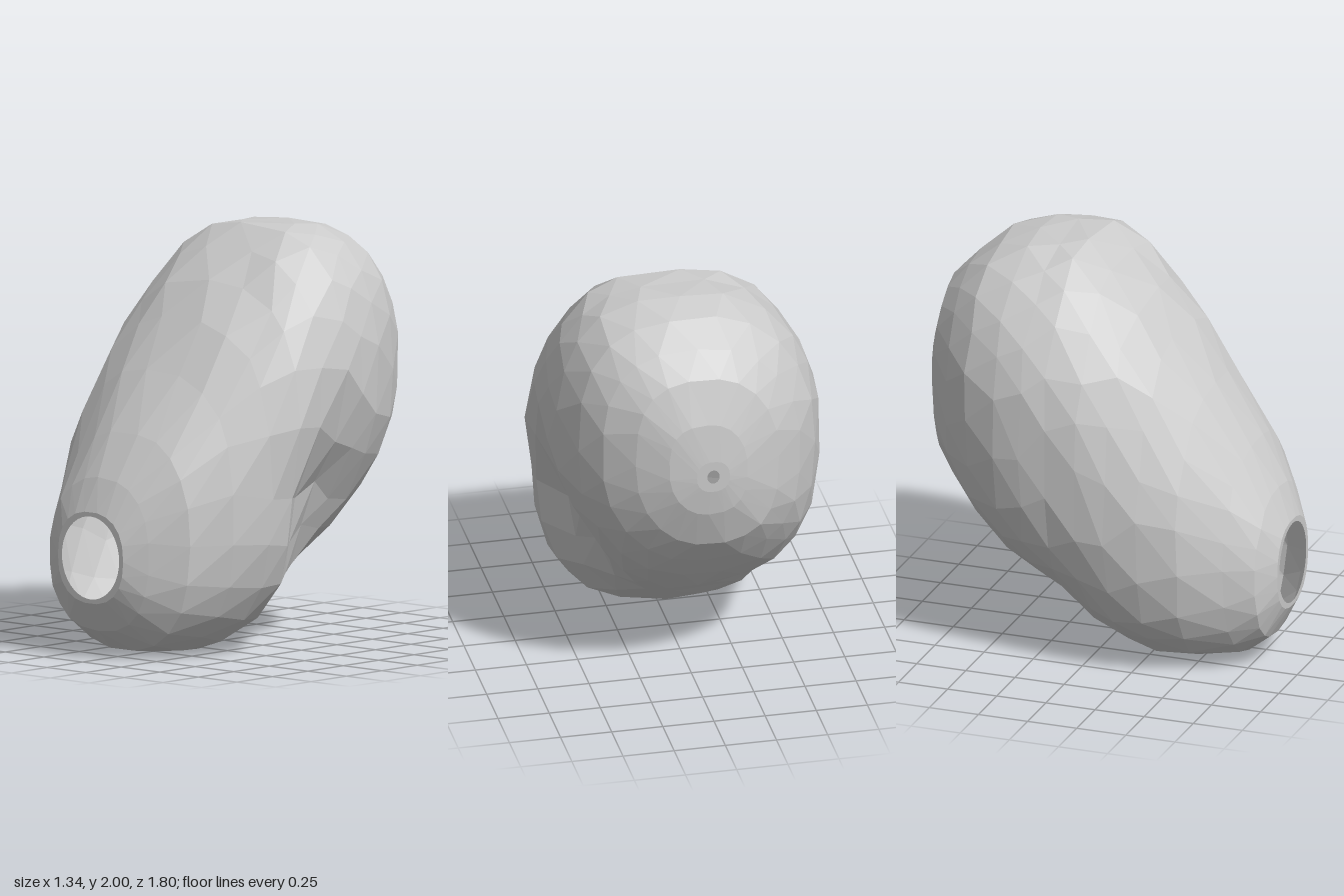
import * as THREE from 'three';

const SIDES = 22;

// Sections from front to back: z, bottom, top, right side x, left side x
const SECTIONS = [
  [0.90, 0.27, 0.71, -0.25, 0.17],
  [0.83, 0.13, 0.87, -0.37, 0.27],
  [0.70, 0.03, 1.08, -0.45, 0.42],
  [0.50, 0.00, 1.36, -0.58, 0.53],
  [0.32, 0.00, 1.60, -0.64, 0.61],
  [0.17, 0.05, 1.77, -0.67, 0.67],
  [0.02, 0.14, 1.91, -0.67, 0.67],
  [-0.14, 0.26, 2.01, -0.67, 0.67],
  [-0.27, 0.34, 2.01, -0.67, 0.66],
  [-0.40, 0.43, 2.01, -0.65, 0.64],
  [-0.57, 0.57, 1.96, -0.59, 0.57],
  [-0.70, 0.72, 1.86, -0.49, 0.48],
  [-0.81, 0.86, 1.75, -0.36, 0.34],
  [-0.88, 1.06, 1.54, -0.19, 0.19],
  [-0.90, 1.19, 1.35, -0.10, 0.06],
];

// Hollows pressed into the flanks: side, y, z, y radius, z radius, depth
const DENTS = [
  [1, 0.68, -0.11, 0.34, 0.28, 0.18],
  [-1, 1.15, 0.26, 0.25, 0.16, 0.04],
];

function seeded(seed) {
  return () => {
    seed = (seed * 16807) % 2147483647;
    return seed / 2147483647;
  };
}

const power = (v, n) => Math.sign(v) * Math.pow(Math.abs(v), 2 / n);

// Roundness of each quarter of a section: the stone leans, so opposite quarters are fuller
function fullness(c, s, z) {
  const back = THREE.MathUtils.smoothstep(-z, -0.5, 0.1);
  const [front, rear] = s > 0
    ? (c > 0 ? [2.5, 2.95] : [2.05, 2.1])
    : (c > 0 ? [2.4, 2.0] : [2.4, 2.8]);
  return THREE.MathUtils.lerp(front, rear, back);
}

function makeRings() {
  const random = seeded(71);
  return SECTIONS.map(([z, y0, y1, x0, x1], r) => {
    const end = r === 0 || r === SECTIONS.length - 1;
    const rough = end ? 0 : ((x1 - x0) / 1.35) ** 2;
    const ring = [];
    for (let i = 0; i < SIDES; i++) {
      const a = ((i + (r % 2) * 0.5 + (random() - 0.5) * 0.35 * rough) / SIDES) * Math.PI * 2;
      const c = Math.cos(a), s = Math.sin(a);
      const n = end ? 2.35 : fullness(c, s, z);
      const scale = 1.006 - random() * 0.016 * rough;
      const p = new THREE.Vector3(
        (x0 + x1) / 2 + power(c, n) * scale * (x1 - x0) / 2,
        (y0 + y1) / 2 + power(s, n) * scale * (y1 - y0) / 2,
        z + (random() - 0.5) * 0.035 * rough
      );
      for (const [side, y, dz, ry, rz, depth] of DENTS) {
        if (p.x * side <= 0) continue;
        const d = ((p.y - y) / ry) ** 2 + ((p.z - dz) / rz) ** 2;
        p.x -= p.x / 0.65 * depth * Math.exp(-Math.pow(d, 1.4));
      }
      p.y = THREE.MathUtils.clamp(p.y, 0, 2);
      ring.push(p);
    }
    return ring;
  });
}

// Faceted skin joining staggered rings
function skin(rings) {
  const positions = [];
  const tri = (...points) => points.forEach((p) => positions.push(p.x, p.y, p.z));
  for (let r = 0; r < rings.length - 1; r++) {
    const a = rings[r], b = rings[r + 1];
    for (let i = 0; i < SIDES; i++) {
      const j = (i + 1) % SIDES;
      if (r % 2 === 0) {
        tri(a[i], b[i], a[j]);
        tri(b[i], b[j], a[j]);
      } else {
        tri(a[i], b[i], b[j]);
        tri(a[i], b[j], a[j]);
      }
    }
  }
  const geometry = new THREE.BufferGeometry();
  geometry.setAttribute('position', new THREE.Float32BufferAttribute(positions, 3));
  geometry.computeVertexNormals();
  return geometry;
}

export function createModel() {
  const group = new THREE.Group();
  group.name = 'hollowStone';
  const shell = new THREE.MeshStandardMaterial({
    color: 0xcccccc, flatShading: true, side: THREE.DoubleSide,
  });

  const add = (name, geometry) => {
    const mesh = new THREE.Mesh(geometry, shell);
    mesh.name = name;
    group.add(mesh);
    return mesh;
  };

  const rings = makeRings();
  add('body', skin(rings));

  // Flat end of the shell with a round opening into the hollow inside
  const openEnd = (name, ring, x, y, rx, ry) => {
    const shape = new THREE.Shape(ring.map((p) => new THREE.Vector2(p.x, p.y)));
    shape.holes.push(new THREE.Path().absellipse(x, y, rx, ry, 0, Math.PI * 2, true));
    add(name, new THREE.ShapeGeometry(shape, 20)).position.z = ring[0].z;
  };

  openEnd('frontOpening', rings[0], -0.04, 0.49, 0.185, 0.2);
  openEnd('backPinhole', rings[rings.length - 1], -0.02, 1.27, 0.03, 0.035);

  return group;
}
